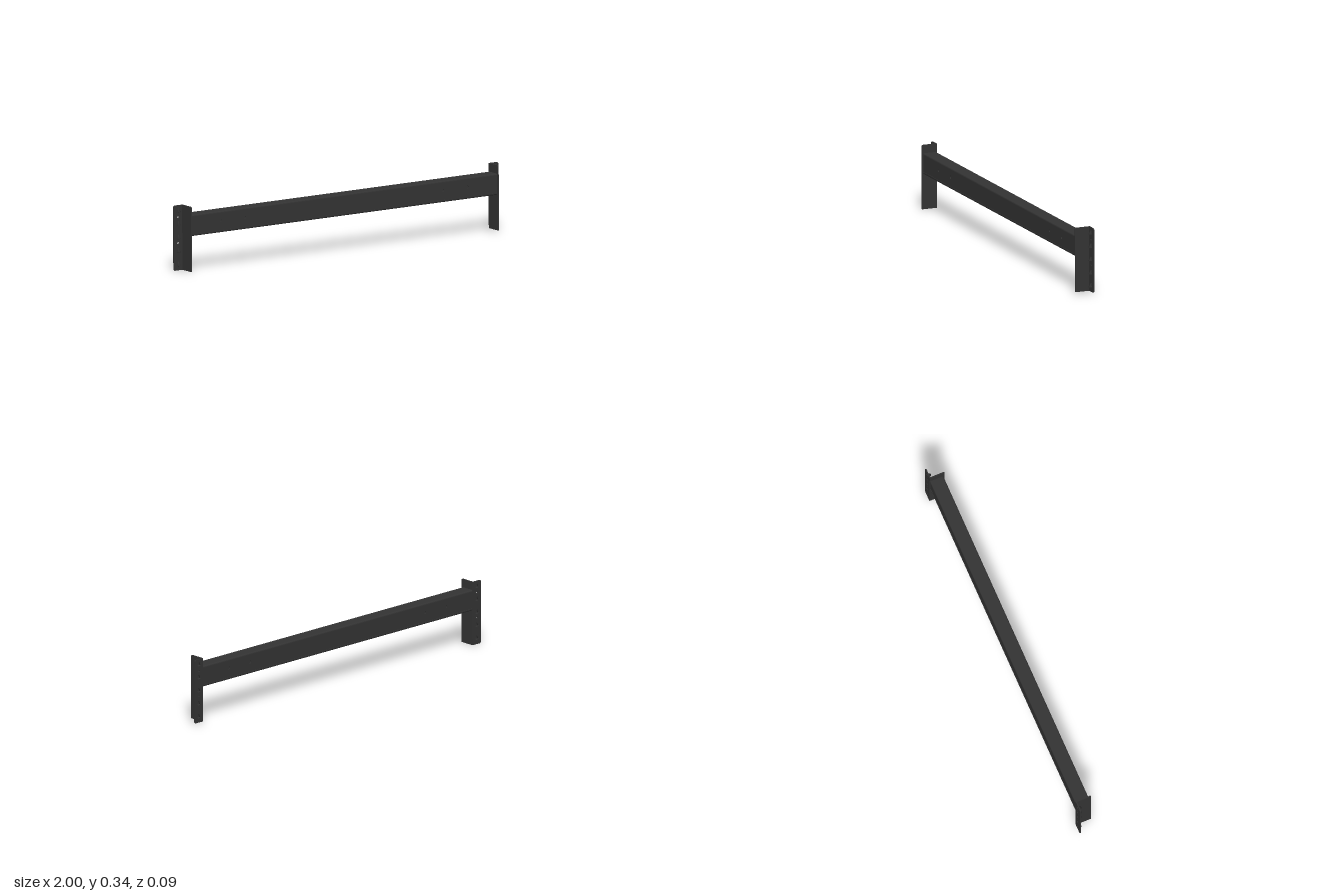
import * as THREE from 'three';

const BACK = -0.04, FRONT = 0.034, BOTTOM = 0.187, TOP = 0.297, HALF = 0.944, T = 0.004;

export function createModel() {
  const model = new THREE.Group();
  const steel = new THREE.MeshStandardMaterial({ color: 0x333333, side: THREE.DoubleSide });

  function add(parent, name, geometry) {
    const mesh = new THREE.Mesh(geometry, steel);
    mesh.name = name;
    parent.add(mesh);
    return mesh;
  }

  // Outline from corner points, with optional holes
  function outline(points, Type = THREE.Shape) {
    return new Type(points.map(([x, y]) => new THREE.Vector2(x, y)));
  }
  function roundHole(shape, x, y, r) {
    const hole = new THREE.Path();
    hole.absarc(x, y, r, 0, Math.PI * 2, true);
    shape.holes.push(hole);
  }
  function plate(shape, depth, segments = 8) {
    return new THREE.ExtrudeGeometry(shape, { depth, bevelEnabled: false, curveSegments: segments });
  }

  // Channel that closes the top or bottom of the beam, with rounded corners and short lips
  function channel(y, up, lip) {
    const r = 0.009, a = FRONT, b = BACK;
    const s = new THREE.Shape();
    s.moveTo(a, y - up * lip);
    s.lineTo(a, y - up * r);
    s.quadraticCurveTo(a, y, a - r, y);
    s.lineTo(b + r, y);
    s.quadraticCurveTo(b, y, b, y - up * r);
    s.lineTo(b, y - up * lip);
    s.lineTo(b + T, y - up * lip);
    s.lineTo(b + T, y - up * r);
    s.quadraticCurveTo(b + T, y - up * T, b + r, y - up * T);
    s.lineTo(a - r, y - up * T);
    s.quadraticCurveTo(a - T, y - up * T, a - T, y - up * r);
    s.lineTo(a - T, y - up * lip);
    s.closePath();
    // profile x becomes z, extrusion runs along x
    return plate(s, HALF * 2, 5).rotateY(-Math.PI / 2).translate(HALF, 0, 0);
  }

  // Beam: two drilled webs between the top and bottom channels
  const beam = new THREE.Group();
  beam.name = 'beam';
  model.add(beam);
  add(beam, 'topChannel', channel(TOP, 1, 0.02));
  add(beam, 'bottomChannel', channel(BOTTOM, -1, 0.012));
  const web = outline([[-HALF, BOTTOM + 0.008], [HALF, BOTTOM + 0.008], [HALF, TOP - 0.008], [-HALF, TOP - 0.008]]);
  for (const x of [-0.76, -0.61, 0.61, 0.76]) roundHole(web, x, 0.248, 0.008);
  add(beam, 'frontWeb', plate(web, T)).position.z = FRONT - T - 0.002;
  add(beam, 'backWeb', plate(web, T)).position.z = BACK + 0.002;

  // Angle brackets with a row of pressed hooks
  const hookHeights = [0.04, 0.109, 0.178, 0.247, 0.316];
  for (const side of [1, -1]) {
    const bracket = new THREE.Group();
    bracket.name = side > 0 ? 'leftBracket' : 'rightBracket';
    model.add(bracket);
    const hookX = side * 0.972;

    // Side plate with a slightly dropped front corner
    const cheek = outline([[-0.041, 0.005], [0.041, 0.005], [0.041, 0.336], [0.035, 0.34], [-0.041, 0.34]]);
    add(bracket, 'sidePlate', plate(cheek, 0.006).rotateY(-Math.PI / 2).translate(side * 0.945 + 0.003, 0, 0));

    // Rear flange with hook openings and small pin holes
    const flange = outline([[side * 0.944, 0.005], [side * 0.994, 0.005], [side, 0.011],
      [side, 0.334], [side * 0.994, 0.34], [side * 0.944, 0.34]]);
    for (const y of hookHeights) {
      flange.holes.push(outline([[hookX, y - 0.013], [hookX + 0.01, y - 0.009],
        [hookX, y + 0.013], [hookX - 0.01, y - 0.009]], THREE.Path));
    }
    for (const y of [0.145, 0.278]) roundHole(flange, hookX, y, 0.005);
    add(bracket, 'rearFlange', plate(flange, 0.006)).position.z = -0.042;

    // Half-cone hooks pressed forward out of the flange
    const profile = [[0, -0.015], [0.011, -0.01], [0, 0.015]].map(([r, y]) => new THREE.Vector2(r, y));
    for (const y of hookHeights) {
      const hook = add(bracket, 'hook', new THREE.LatheGeometry(profile, 10, -Math.PI / 2, Math.PI));
      hook.position.set(hookX, y, -0.037);
      hook.scale.z = 1.4;
    }
  }

  // The whole beam sits very slightly out of level
  model.rotation.set(0, -0.002, 0.005);
  const root = new THREE.Group();
  root.name = 'rackBeam';
  root.add(model);
  return root;
}
